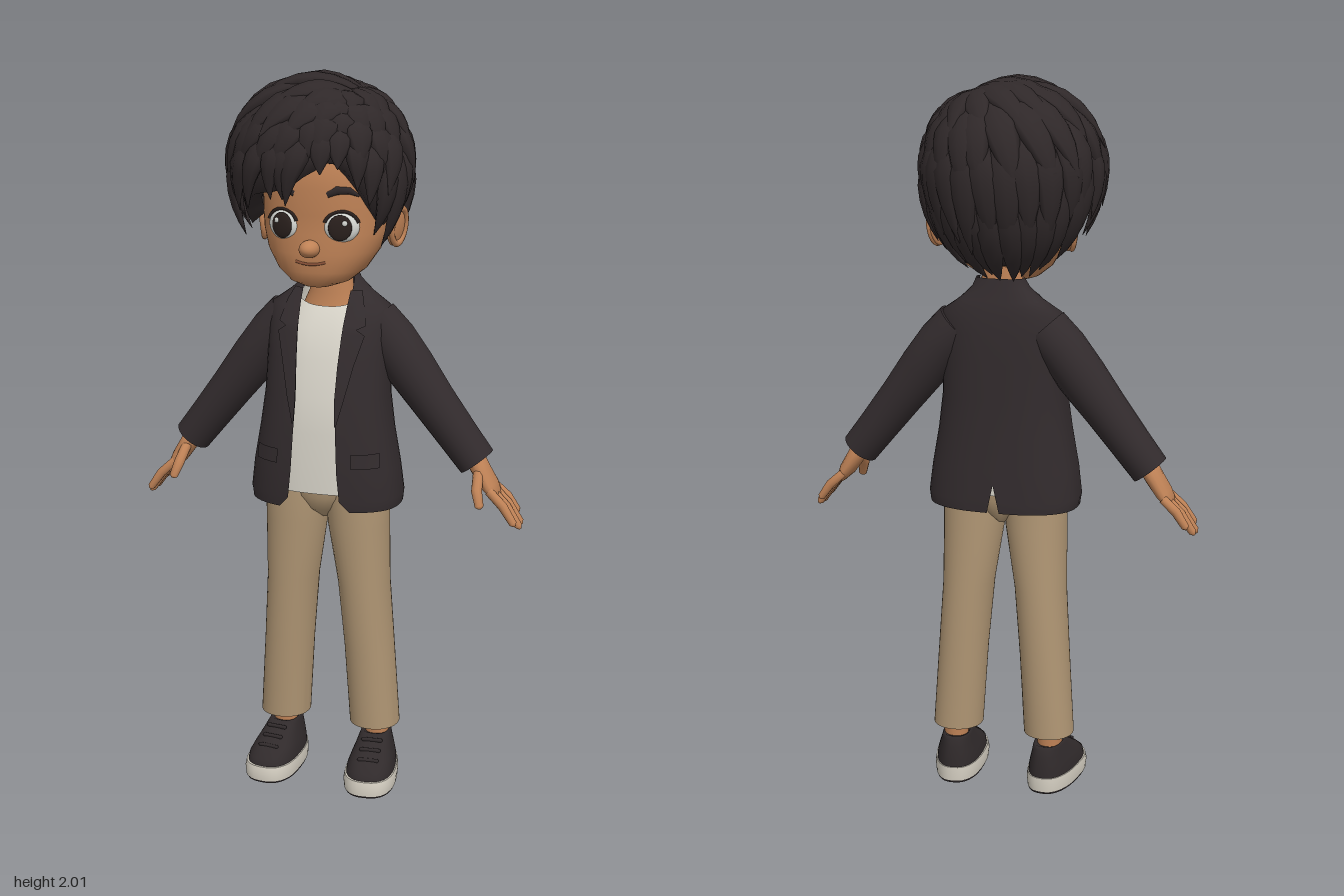
import * as THREE from 'three';
import { mergeGeometries, toCreasedNormals } from 'three/addons/utils/BufferGeometryUtils.js';

const V = (x, y, z) => new THREE.Vector3(x, y, z);
const mat = (name, color, side = THREE.FrontSide) => {
  const m = new THREE.MeshStandardMaterial({ color, side });
  m.name = name;
  return m;
};

// Skin a grid of points (rows of equal length) with smooth normals.
function surface(rows, closed = true) {
  const n = rows[0].length, pos = [], idx = [];
  rows.forEach(r => r.forEach(p => pos.push(p.x, p.y, p.z)));
  for (let i = 0; i < rows.length - 1; i++)
    for (let j = 0; j < (closed ? n : n - 1); j++) {
      const k = (j + 1) % n, a = i * n + j, b = i * n + k, c = a + n, d = b + n;
      idx.push(a, b, d, a, d, c);
    }
  const g = new THREE.BufferGeometry();
  g.setAttribute('position', new THREE.Float32BufferAttribute(pos, 3));
  g.setIndex(idx);
  g.computeVertexNormals();
  return g;
}

// Horizontal superellipse ring, from the front towards +x; open leaves a gap at the front.
function ring(y, rx, zf, zb, { p = 2, cx = 0, n = 36, open = 0 } = {}) {
  const a0 = open ? Math.asin(Math.min(1, open / rx) ** (p / 2)) : 0;
  const pw = v => Math.sign(v) * Math.abs(v) ** (2 / p), out = [];
  for (let j = 0; j < (open ? n + 1 : n); j++) {
    const a = a0 + (2 * Math.PI - 2 * a0) * j / n;
    out.push(V(cx + rx * pw(Math.sin(a)), y, (zf + zb) / 2 + (zf - zb) / 2 * pw(Math.cos(a))));
  }
  return out;
}
const loft = (rows, o) => surface(rows.map(r => ring(...r, o)));

// Capped limb of elliptical section along points; sizes are [across, along up].
function limb(pts, sizes, up, n = 12) {
  const rows = pts.map((p, i) => {
    const T = pts[Math.min(i + 1, pts.length - 1)].clone().sub(pts[Math.max(i - 1, 0)]).normalize();
    const u = Array.isArray(up) ? up[i] : up;
    const N = u.clone().addScaledVector(T, -u.dot(T)).normalize(), B = T.clone().cross(N);
    return Array.from({ length: n }, (_, j) => {
      const a = j / n * Math.PI * 2;
      return p.clone().addScaledVector(B, sizes[i][0] * Math.sin(a)).addScaledVector(N, sizes[i][1] * Math.cos(a));
    });
  });
  const cap = p => Array.from({ length: n }, () => p.clone());
  return surface([cap(pts[0]), ...rows, cap(pts[pts.length - 1])]);
}

// Interpolate a table whose first column ascends.
function sample(table, t) {
  let i = 0;
  while (i < table.length - 2 && t > table[i + 1][0]) i++;
  const a = table[i], b = table[i + 1], f = THREE.MathUtils.clamp((t - a[0]) / (b[0] - a[0]), 0, 1);
  return a.map((v, k) => v + (b[k] - v) * f);
}

// Mirror a geometry in x, keeping its faces outward.
function mirrored(geo) {
  const g = geo.index ? geo.toNonIndexed() : geo.clone();
  g.scale(-1, 1, 1);
  for (const at of Object.values(g.attributes))
    for (let i = 0; i < at.count; i += 3)
      for (let k = 0; k < at.itemSize; k++) {
        const q = at.getComponent(i + 1, k);
        at.setComponent(i + 1, k, at.getComponent(i + 2, k));
        at.setComponent(i + 2, k, q);
      }
  return g;
}

// Swept hair: overlapping tapered locks fanning out from a side parting.
function hairGeometry() {
  let seed = 7;
  const rnd = () => (seed = (seed * 16807) % 2147483647) / 2147483647;
  const side = [[1, -0.36], [1.3, -0.6], [1.5, -0.33], [1.75, -0.35], [2.1, -0.85], [3.142, -1.02]];
  const hairline = [...side.map(([a, e]) => [-a, e]).reverse(),
    [-0.6, -0.2], [-0.1, -0.12], [0.25, 0.08], [0.45, 0.2], [0.65, 0], ...side];
  const dir = (phi, s) => {
    const a = Math.atan2(Math.sin(phi), Math.cos(phi));
    const el = THREE.MathUtils.lerp(Math.PI / 2, sample(hairline, a)[1], s), k = Math.max(0, 1 - s) ** 1.5;
    return V(Math.sin(a) * Math.cos(el) + 0.5 * k, Math.sin(el),
      Math.cos(a) * Math.cos(el) + (0.5 * Math.max(0, Math.cos(a)) - 0.1) * k).normalize();
  };
  const at = (d, r) => V(-0.02 + d.x * 0.235 * r, 1.76 + d.y * (d.y < 0 ? 0.3 : 0.225) * r, d.z * 0.235 * r);
  const capRow = (s, r) => Array.from({ length: 64 }, (_, j) => at(dir(j / 64 * Math.PI * 2, s), r));
  const parts = [surface([capRow(1, 0.74), ...[1, 0.85, 0.7, 0.55, 0.4, 0.25, 0.1, 0].map(s => capRow(s, 0.94))])];
  // layers: count, start, end, half width, radius
  const layers = [[30, 0.6, 1.05, 0.036, 0.95], [26, 0.4, 0.86, 0.042, 0.965], [20, 0.18, 0.66, 0.045, 0.975], [14, 0, 0.46, 0.042, 0.98]];
  for (const [count, s0, s1, w, r] of layers)
    for (let i = 0; i < count; i++) {
      const phi = (i + 0.5 * rnd()) / count * Math.PI * 2, end = s1 + (rnd() - 0.5) * 0.07;
      const lift = 0.02 + 0.09 * rnd(), swirl = (rnd() - 0.7) * 0.22, pts = [], ups = [], sizes = [];
      for (let k = 0; k <= 7; k++) {
        const t = k / 7, d = dir(phi + swirl * t * t, s0 + (end - s0) * t);
        const f = Math.max(0.03, t < 0.4 ? 0.55 + 1.1 * t : 1 - ((t - 0.4) / 0.6) ** 1.7);
        pts.push(at(d, r + 0.03 * Math.sin(t * Math.PI) + lift * t * t));
        ups.push(d);
        sizes.push([w * f, 0.02 * f]);
      }
      parts.push(limb(pts, sizes, ups, 8));
    }
  return mergeGeometries(parts);
}

export function createModel() {
  const model = new THREE.Group();
  model.name = 'boy';
  const D = THREE.DoubleSide;
  const skin = mat('skin', 0xbf8256), hairMat = mat('hair', 0x2f2829, D), cloth = mat('jacket cloth', 0x322b2d, D);
  const tan = mat('trouser cloth', 0xb09674, D), white = mat('shirt cloth', 0xd9d5ca, D), canvas = mat('shoe canvas', 0x302a2b);
  const rubber = mat('sole rubber', 0xd3cdc0), eyeWhite = mat('eye white', 0xd6d8d3), iris = mat('iris', 0x2a201d), lip = mat('lip', 0x8a5238);
  const add = (name, geo, m) => {
    const mesh = new THREE.Mesh(geo, m);
    mesh.name = name;
    model.add(mesh);
  };
  const pair = (name, geo, m) => {
    add(name + 'Left', geo, m);
    add(name + 'Right', mirrored(geo), m);
  };
  const ball = (sx, sy, sz) => new THREE.SphereGeometry(1, 24, 16).scale(sx, sy, sz);

  // Head, neck and face
  add('head', loft([[1.455, 0.002, 0.09, 0.06], [1.457, 0.04, 0.125, 0.02], [1.47, 0.08, 0.145, -0.02], [1.5, 0.118, 0.155, -0.06],
    [1.55, 0.15, 0.16, -0.1], [1.6, 0.168, 0.155, -0.14], [1.65, 0.173, 0.155, -0.16], [1.72, 0.175, 0.16, -0.18],
    [1.8, 0.168, 0.15, -0.17], [1.87, 0.13, 0.1, -0.13], [1.91, 0.06, 0.04, -0.07], [1.92, 0.002, 0, -0.01]], { p: 2.2, n: 40 }), skin);
  add('neck', loft([[1.3, 0.1, 0.05, -0.08], [1.37, 0.084, 0.024, -0.08], [1.42, 0.062, 0.014, -0.075], [1.52, 0.052, 0.01, -0.07]]), skin);
  add('nose', ball(0.027, 0.023, 0.036).translate(0, 1.565, 0.163), skin);
  const curve = (a, b, c, r) => new THREE.TubeGeometry(new THREE.QuadraticBezierCurve3(V(...a), V(...b), V(...c)), 12, r, 6);
  add('mouth', curve([-0.04, 1.53, 0.153], [0, 1.518, 0.165], [0.04, 1.53, 0.153], 0.004), lip);
  const onEye = g => g.rotateY(0.3).translate(0.078, 1.622, 0.133);
  pair('eye', onEye(ball(0.047, 0.041, 0.021)), eyeWhite);
  pair('iris', onEye(ball(0.031, 0.034, 0.008).translate(-0.004, 0, 0.017)), iris);
  pair('eyeGlint', onEye(ball(0.007, 0.007, 0.003).translate(0.008, 0.013, 0.0245)), eyeWhite);
  pair('lashLine', onEye(new THREE.TorusGeometry(0.046, 0.005, 6, 20, Math.PI * 0.8).rotateZ(0.31).scale(1, 0.9, 1).translate(0, 0, 0.008)), iris);
  pair('eyebrow', limb([V(0.045, 1.706, 0.153), V(0.07, 1.718, 0.148), V(0.1, 1.717, 0.135), V(0.122, 1.703, 0.122)],
    [[0.008, 0.004], [0.011, 0.006], [0.009, 0.006], [0.003, 0.004]], V(0.3, 0, 1)), hairMat);
  const onHead = g => g.rotateY(-0.35).rotateZ(-0.12).translate(0.183, 1.608, -0.015);
  pair('ear', onHead(ball(0.014, 0.056, 0.036)), skin);
  pair('earRim', onHead(new THREE.TorusGeometry(0.04, 0.008, 8, 24).rotateY(Math.PI / 2).scale(1, 1.2, 0.75).translate(0.01, 0, 0)), skin);
  add('hair', hairGeometry(), hairMat);

  // Shirt with a scooped neckline
  const shirt = [[0.88, 0.175, 0.118, -0.1], [1.05, 0.165, 0.12, -0.1], [1.15, 0.155, 0.107, -0.1], [1.25, 0.15, 0.087, -0.1],
    [1.33, 0.14, 0.062, -0.095], [1.42, 0.09, 0.026, -0.085]].map(r => ring(...r, { p: 2.4 }));
  shirt[5].forEach((q, j) => { q.y -= 0.035 * Math.max(0, Math.cos(j / 36 * Math.PI * 2)); });
  add('shirt', surface(shirt), white);

  // Open jacket: y, half width, front z, back z, half opening
  const coat = [[0.84, 0.21, 0.138, -0.13, 0.1], [0.87, 0.214, 0.141, -0.131, 0.073], [0.95, 0.204, 0.14, -0.125, 0.065],
    [1.05, 0.186, 0.134, -0.12, 0.06], [1.15, 0.173, 0.12, -0.115, 0.056], [1.25, 0.17, 0.1, -0.115, 0.06],
    [1.33, 0.17, 0.075, -0.11, 0.064], [1.385, 0.165, 0.045, -0.105, 0.068], [1.42, 0.115, 0.022, -0.095, 0.07],
    [1.455, 0.078, 0.002, -0.086, 0.068], [1.48, 0.066, -0.015, -0.08, 0.061]];
  const shell = coat.map(([y, rx, zf, zb, open]) => ring(y, rx, zf, zb, { p: 2.5, n: 40, open }));
  [0.92, 0.93, 0.955].forEach((y, i) => {
    shell[i][20].y = y;
    if (i < 2) [19, 21].forEach(j => { shell[i][j].x *= 0.4; });
  });
  add('jacket', surface(shell, false), cloth);

  // Lapels and pocket flaps laid over the jacket front
  const drape = (y, x) => {
    const [, rx, zf, zb] = sample(coat, y);
    return V(x, y, (zf + zb) / 2 + (zf - zb) / 2 * Math.max(0, 1 - (x / rx) ** 2.5) ** 0.4 + 0.007);
  };
  const strip = rows => surface(rows.map(([y, x0, x1]) => [0, 0.33, 0.67, 1].map(f => drape(y, x0 + (x1 - x0) * f))), false);
  pair('lapel', strip([[1.08, 0.058, 0.062], [1.15, 0.055, 0.08], [1.24, 0.058, 0.1], [1.32, 0.062, 0.122], [1.335, 0.063, 0.1],
    [1.345, 0.063, 0.122], [1.4, 0.066, 0.108], [1.43, 0.067, 0.095]]), cloth);
  pair('pocketFlap', strip([[0.965, 0.105, 0.175], [0.985, 0.104, 0.174], [1.005, 0.103, 0.173]]), cloth);

  // Sleeves and hands
  const Z = V(0, 0, 1);
  pair('sleeve', toCreasedNormals(limb([V(0.12, 1.345, -0.035), V(0.17, 1.29, -0.035), V(0.225, 1.215, -0.033), V(0.29, 1.13, -0.03),
    V(0.36, 1.04, -0.03), V(0.415, 0.97, -0.03)], [[0.066, 0.062], [0.068, 0.07], [0.068, 0.068], [0.061, 0.063], [0.056, 0.059], [0.053, 0.057]], Z, 20), 0.9), cloth);
  const hand = [limb([V(0.4, 0.995, -0.03), V(0.43, 0.945, -0.028), V(0.455, 0.907, -0.027), V(0.475, 0.877, -0.027)],
    [[0.028, 0.032], [0.025, 0.04], [0.022, 0.046], [0.012, 0.042]], Z, 16)];
  const finger = (a, b, c, r) => hand.push(limb([a, b, c, c.clone().lerp(b, -0.15)], [[r, r], [r * 1.05, r], [r * 0.85, r * 0.85], [r * 0.3, r * 0.3]], Z, 10));
  [[0.53, 0.818], [0.539, 0.803], [0.537, 0.806], [0.522, 0.828]].forEach(([x, y], i) => {
    const z = 0.008 - i * 0.024, tip = V(x, y, z * 1.25 + 0.009);
    const root = V(0.458, 0.9, z);
    finger(root, root.clone().lerp(tip, 0.5).add(V(0.005, 0.003, 0)), tip, 0.0125);
  });
  finger(V(0.425, 0.95, -0.005), V(0.432, 0.908, 0.042), V(0.444, 0.87, 0.058), 0.014);
  pair('hand', mergeGeometries(hand), skin);

  // Trousers: y, centre x, half width, front z, back z
  const leg = [[0.185, 0.135, 0.001, -0.01, -0.012], [0.185, 0.135, 0.066, 0.05, -0.085], [0.165, 0.135, 0.071, 0.056, -0.09],
    [0.4, 0.12, 0.07, 0.07, -0.092], [0.6, 0.105, 0.072, 0.086, -0.092], [0.78, 0.09, 0.086, 0.096, -0.088],
    [0.86, 0.088, 0.088, 0.1, -0.086], [0.94, 0.085, 0.085, 0.1, -0.086]];
  pair('trouserLeg', toCreasedNormals(surface(leg.map(([y, cx, ...r]) => ring(y, ...r, { cx, p: 2.1 }))), 0.9), tan);
  add('trouserSeat', loft([[0.79, 0.015, 0.04, -0.05], [0.82, 0.06, 0.08, -0.075], [0.86, 0.13, 0.098, -0.088], [0.9, 0.17, 0.102, -0.09],
    [0.97, 0.165, 0.1, -0.09]]), tan);

  // Ankles and shoes, toes turned out
  pair('ankle', new THREE.CylinderGeometry(0.036, 0.034, 0.14, 20).translate(0.14, 0.13, -0.025), skin);
  const shoe = (rows, crease) => {
    const g = surface(rows.map(([y, w, zf, zb]) => ring(y, w, zf, zb, { p: 2.5 }).map(q => {
      q.x *= 1 + 0.13 * (q.z - 0.03) / 0.13;
      return q;
    })));
    return (crease ? toCreasedNormals(g, 0.8) : g).rotateY(0.1).translate(0.14, 0, 0);
  };
  pair('outsole', shoe([[0, 0.001, 0.031, 0.029], [0, 0.068, 0.158, -0.097], [0.007, 0.07, 0.161, -0.1]], true), canvas);
  pair('sole', shoe([[0.007, 0.071, 0.162, -0.1], [0.03, 0.073, 0.163, -0.101], [0.048, 0.07, 0.158, -0.1], [0.05, 0.001, 0.031, 0.029]], true), rubber);
  pair('shoeUpper', shoe([[0.045, 0.067, 0.153, -0.097], [0.065, 0.065, 0.146, -0.096], [0.085, 0.059, 0.118, -0.094], [0.108, 0.051, 0.078, -0.091],
    [0.128, 0.045, 0.043, -0.086], [0.138, 0.041, 0.025, -0.08], [0.132, 0.036, 0.012, -0.065], [0.12, 0.001, -0.02, -0.022]]), canvas);
  for (let i = 0; i < 3; i++)
    pair('lace' + (i + 1), new THREE.CapsuleGeometry(0.006, 0.05, 4, 8).rotateZ(Math.PI / 2)
      .translate(0, 0.127 - i * 0.018, 0.045 + i * 0.029).rotateY(0.1).translate(0.14, 0, 0), canvas);
  return model;
}
